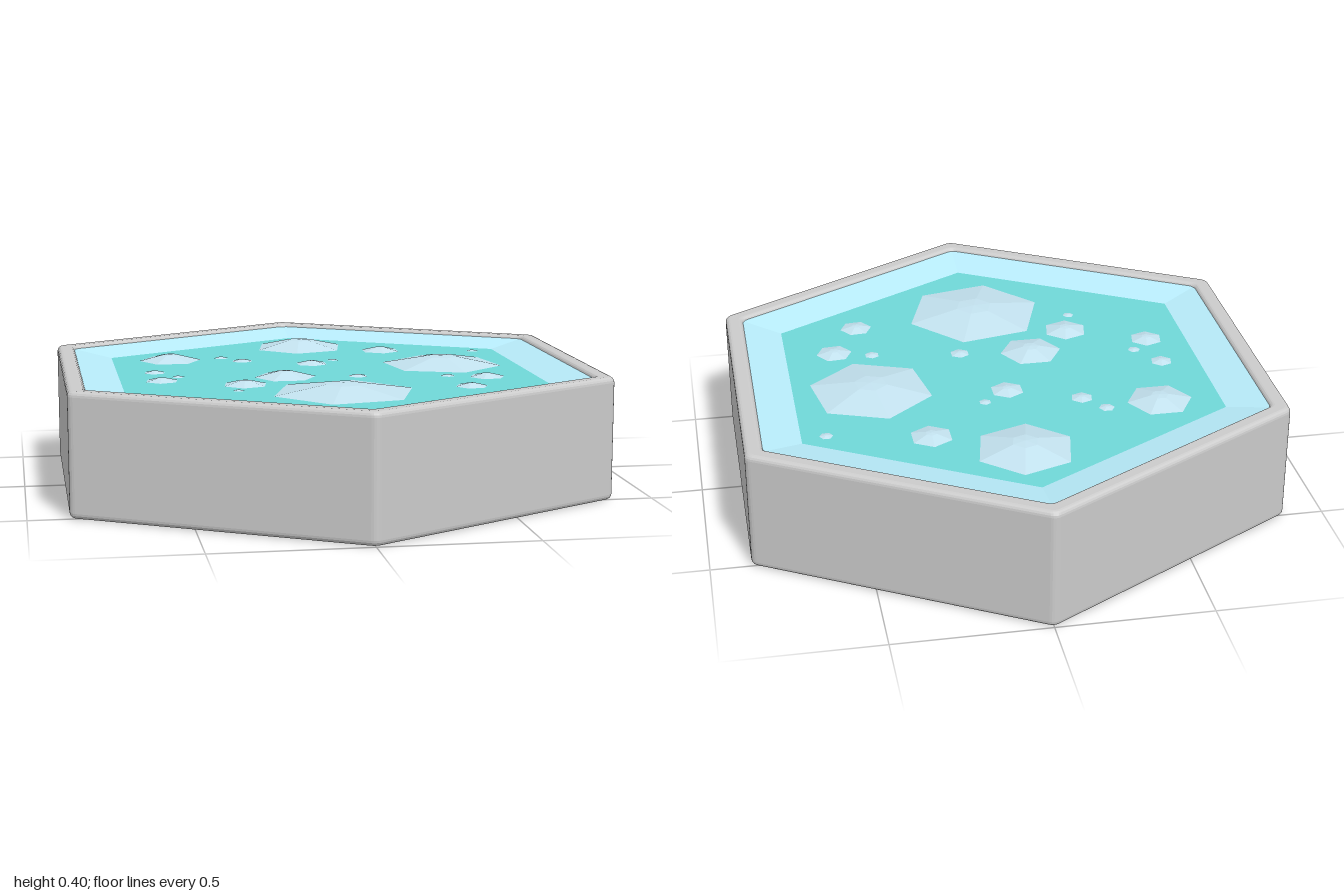
import * as THREE from 'three';

const GREY = 0xcccccc, WATER = 0x6fd8d8, SHORE = 0xb8ecfa, ICE = 0xc3e2ef;
const WATER_Y = 0.365;

function addMesh(parent, name, geometry, color) {
  const geo = geometry.toNonIndexed();
  geo.computeVertexNormals();
  const mesh = new THREE.Mesh(geo, new THREE.MeshStandardMaterial({ color, flatShading: true }));
  mesh.name = name;
  parent.add(mesh);
  return mesh;
}

// Six-sided turning of a [radius, height] profile; corners lie on the z axis
function hexLathe(profile) {
  return new THREE.LatheGeometry(profile.map(([r, y]) => new THREE.Vector2(r, y)), 6);
}

// Same, with each corner rounded by a small arc
function roundedHexLathe(profile, cornerRadius, arcSteps = 4) {
  const perCorner = arcSteps + 1, segments = 6 * perCorner;
  const geo = new THREE.LatheGeometry(profile.map(([r, y]) => new THREE.Vector2(r, y)), segments);
  const pos = geo.attributes.position;
  for (let i = 0; i <= segments; i++) {
    const corner = Math.floor(i / perCorner) * Math.PI / 3;
    const arc = corner - Math.PI / 6 + (i % perCorner) / arcSteps * Math.PI / 3;
    profile.forEach(([r, y], j) => {
      const rho = Math.min(cornerRadius, r * 0.5);
      const centre = r - rho / Math.cos(Math.PI / 6);
      pos.setXYZ(i * profile.length + j,
        centre * Math.sin(corner) + rho * Math.sin(arc), y,
        centre * Math.cos(corner) + rho * Math.cos(arc));
    });
  }
  return geo;
}

// Quarter-circle of profile points
function bevel(cx, cy, radius, from, steps = 4) {
  return Array.from({ length: steps + 1 }, (_, i) => {
    const a = from + i / steps * Math.PI / 2;
    return [cx + radius * Math.cos(a), cy + radius * Math.sin(a)];
  });
}

export function createModel() {
  const group = new THREE.Group();
  group.name = 'frozenPondTile';

  // Tray: flat base, walls and a rounded rim
  const R = 1.003, b = 0.018;
  addMesh(group, 'tray', roundedHexLathe([
    [0, 0],
    ...bevel(R - b, b, b, -Math.PI / 2),
    ...bevel(R - b, 0.4 - b, b, 0),
    ...bevel(0.934 + b, 0.4 - b, b, Math.PI / 2),
    [0.934, 0.34],
  ], 0.03), GREY);

  // Shallow shore sloping down to the water
  addMesh(group, 'shore', hexLathe([[0.94, 0.39], [0.79, WATER_Y]]), SHORE);

  // Water surface
  const water = new THREE.CircleGeometry(0.79, 6, Math.PI / 2).rotateX(-Math.PI / 2);
  addMesh(group, 'water', water, WATER).position.y = WATER_Y;

  // Ice floes: x, z, radius, turn in degrees
  const floes = [
    [0, 0.44, 0.235, 18], [0.43, -0.08, 0.205, -10], [0.005, -0.55, 0.162, 11],
    [-0.485, -0.31, 0.107, 30], [-0.14, 0.11, 0.103, 30], [0.28, -0.42, 0.07, 0],
    [-0.29, 0.25, 0.075, 10], [-0.01, -0.155, 0.056, 0], [0.52, 0.21, 0.06, 25],
    [0.425, 0.39, 0.054, 25], [-0.55, 0.135, 0.056, 10], [-0.24, -0.25, 0.037, 10],
    [-0.56, -0.04, 0.037, 10], [0.1, 0.135, 0.033, 0], [-0.305, -0.33, 0.026, 30],
    [0.395, 0.175, 0.025, 0], [0.605, -0.36, 0.022, 30], [-0.49, 0.06, 0.021, 30],
    [0.075, -0.225, 0.02, 0], [-0.325, 0.365, 0.019, 30],
  ];
  const floeGroup = new THREE.Group();
  floeGroup.name = 'iceFloes';
  floes.forEach(([x, z, r, turn], i) => {
    const h = Math.min(0.03, r * 0.2);
    const floe = addMesh(floeGroup, `iceFloe${i + 1}`,
      hexLathe([[r, 0], [r * 0.27, h * 0.9], [0, h]]), ICE);
    floe.position.set(x, WATER_Y, z);
    floe.rotation.y = -THREE.MathUtils.degToRad(turn);
  });
  group.add(floeGroup);

  return group;
}
